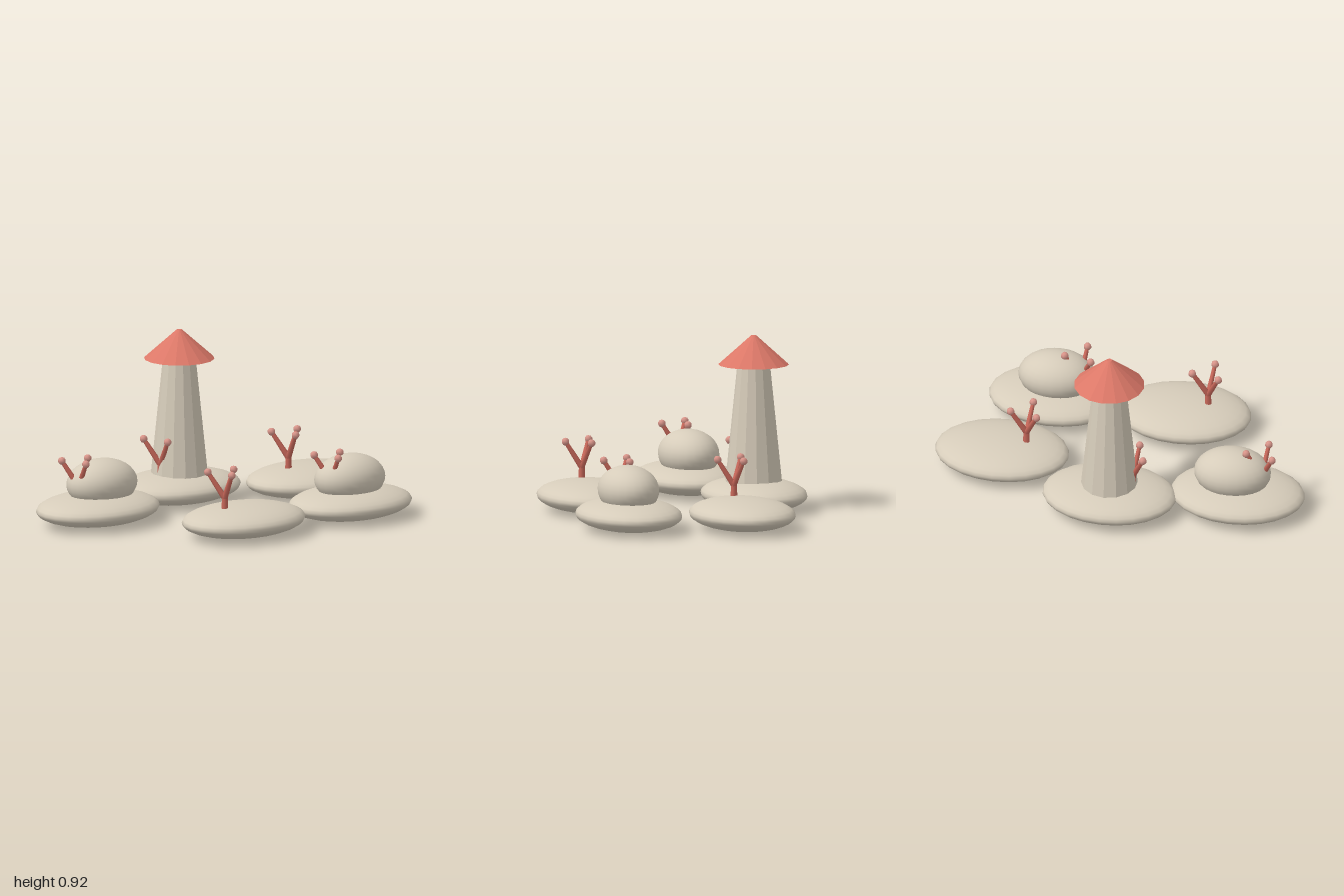
import * as THREE from 'three';

export function createModel() {
  const model = new THREE.Group();
  const mat = (name, color, flatShading = false) => {
    const m = new THREE.MeshStandardMaterial({ color, flatShading });
    m.name = name;
    return m;
  };
  const stone = mat('pale stone', 0xd6ccba);
  const towerStone = mat('tower stone', 0xd6ccba, true);
  const roofRed = mat('roof red', 0xdc7868, true);
  const coralRed = mat('coral red', 0xc9685a);
  const tipPink = mat('coral tip pink', 0xd9958a);

  function add(parent, name, geometry, material, x, y, z) {
    const mesh = new THREE.Mesh(geometry, material);
    mesh.name = name;
    mesh.position.set(x, y, z);
    parent.add(mesh);
    return mesh;
  }

  const islandGeo = new THREE.SphereGeometry(1, 24, 16).scale(0.354, 0.083, 0.27);
  const domeGeo = new THREE.SphereGeometry(1, 24, 16).scale(0.203, 0.128, 0.156);
  const trunkGeo = new THREE.CylinderGeometry(0.016, 0.019, 0.08, 7);
  const tipGeo = new THREE.SphereGeometry(0.021, 7, 5);

  // Coral: short trunk, three spreading branches with knobbed ends
  const UP = new THREE.Vector3(0, 1, 0);
  const fork = new THREE.Vector3(0, 0.215, 0);
  const tips = [[-0.065, -0.06], [0.08, -0.026], [-0.019, 0.084]];
  function coral(x, z) {
    const group = new THREE.Group();
    group.name = 'coral';
    group.position.set(x, 0, z);
    add(group, 'coralTrunk', trunkGeo, coralRed, 0, 0.18, 0);
    for (const [tx, tz] of tips) {
      const end = new THREE.Vector3(tx, 0.352, tz);
      const dir = end.clone().sub(fork);
      const mid = fork.clone().add(end).multiplyScalar(0.5);
      const branch = add(group, 'coralBranch',
        new THREE.CylinderGeometry(0.011, 0.016, dir.length(), 6), coralRed, mid.x, mid.y, mid.z);
      branch.quaternion.setFromUnitVectors(UP, dir.normalize());
      add(group, 'coralTip', tipGeo, tipPink, end.x, end.y, end.z);
    }
    model.add(group);
  }

  // Flat pebble islands, each with a coral: [island x, z, coral x, z]
  const islands = [
    [-0.647, -0.29, -0.776, -0.288],
    [0.009, -0.432, -0.116, -0.43],
    [0.641, -0.145, 0.511, -0.144],
    [-0.22, 0.396, -0.347, 0.397],
    [0.471, 0.424, 0.34, 0.427],
  ];
  for (const [x, z, cx, cz] of islands) {
    add(model, 'island', islandGeo, stone, x, 0.084, z);
    coral(cx, cz);
  }

  // Domed boulders
  add(model, 'dome', domeGeo, stone, -0.619, 0.215, -0.291);
  add(model, 'dome', domeGeo, stone, 0.467, 0.215, 0.425);

  // Tapered tower with a conical roof
  add(model, 'tower', new THREE.CylinderGeometry(0.086, 0.15, 0.63, 14), towerStone, 0.01, 0.455, -0.43);
  add(model, 'roof', new THREE.CylinderGeometry(0.014, 0.185, 0.153, 16), roofRed, 0.01, 0.845, -0.43);

  return model;
}
